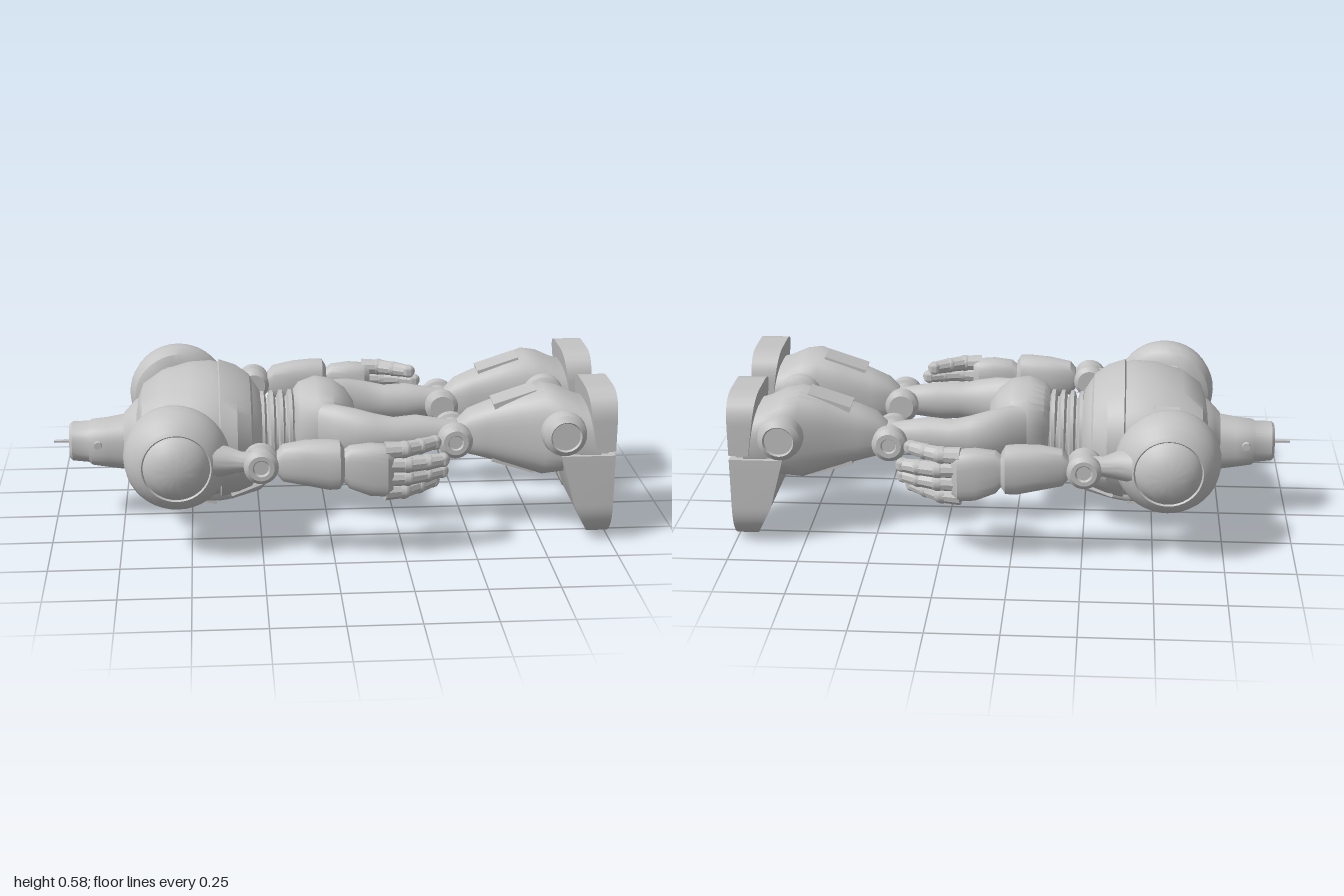
import * as THREE from 'three';
import { toCreasedNormals } from 'three/addons/utils/BufferGeometryUtils.js';

const metal = new THREE.MeshStandardMaterial({ color: 0xc4c4c4 });
metal.name = 'grey metal';

export function createModel() {
  const root = new THREE.Group();
  root.name = 'lyingRobot';

  function add(name, geo, crease = 0.6) {
    const m = new THREE.Mesh(toCreasedNormals(geo, crease), metal);
    m.name = name;
    root.add(m);
    return m;
  }

  // Skin over sections along x: [x, centreY, centreZ, halfY, halfZ]; n is squareness
  function loft(name, secs, n = 2, seg = 32, crease = 0.6) {
    const pos = [], idx = [];
    const pw = v => Math.sign(v) * Math.abs(v) ** (2 / n);
    for (const [x, cy, cz, hy, hz] of secs)
      for (let j = 0; j < seg; j++) {
        const t = (j / seg) * Math.PI * 2;
        pos.push(x, cy + hy * pw(Math.sin(t)), cz + hz * pw(Math.cos(t)));
      }
    const last = secs.length - 1, c0 = secs.length * seg;
    for (const k of [0, last]) pos.push(...secs[k].slice(0, 3));
    for (let j = 0; j < seg; j++) {
      const k = (j + 1) % seg;
      for (let i = 0; i < last; i++) {
        const a = i * seg + j, b = i * seg + k;
        idx.push(a, a + seg, b, b, a + seg, b + seg);
      }
      idx.push(c0, j, k, c0 + 1, last * seg + k, last * seg + j);
    }
    const g = new THREE.BufferGeometry();
    g.setAttribute('position', new THREE.Float32BufferAttribute(pos, 3));
    g.setIndex(idx);
    return add(name, g, crease);
  }

  // Tapered rod between two points
  function bone(name, a, b, r1, r2 = r1, seg = 12) {
    const A = new THREE.Vector3(...a), B = new THREE.Vector3(...b);
    const d = B.clone().sub(A);
    const m = add(name, new THREE.CylinderGeometry(r2, r1, d.length(), seg));
    m.position.copy(A).add(B).multiplyScalar(0.5);
    m.quaternion.setFromUnitVectors(new THREE.Vector3(0, 1, 0), d.normalize());
    return m;
  }

  function box(name, w, h, d, x, y, z, rz = 0, rx = 0) {
    const m = add(name, new THREE.BoxGeometry(w, h, d));
    m.position.set(x, y, z);
    m.rotation.set(rx, 0, rz);
    return m;
  }

  // Turned part around the z axis, profile of [radius, z], s = side; slope slants its inner face
  function turned(name, pts, x, y, s, seg = 40, slope = 0) {
    const g = new THREE.LatheGeometry(pts.map(p => new THREE.Vector2(...p)), seg);
    const p = g.attributes.position;
    for (let i = 0; i < p.count; i++) {
      const w = Math.max(0, Math.min(1, (0.4 - p.getY(i)) / 0.1));
      p.setY(i, p.getY(i) + slope * w * Math.max(0, p.getX(i) + 0.08));
    }
    const m = add(name, g);
    m.rotation.x = s * Math.PI / 2;
    // the lathe keeps its own x, so both sides slant alike
    m.position.set(x, y, 0);
    return m;
  }

  // Slab seen from the sole: outline in (y, z), upper face set by rule back(y)
  function slab(name, shape, back) {
    const g = new THREE.ExtrudeGeometry(shape, { depth: 1, bevelEnabled: false, curveSegments: 14 });
    const p = g.attributes.position;
    for (let i = 0; i < p.count; i++) {
      const y = p.getX(i), z = p.getY(i), d = p.getZ(i);
      p.setXYZ(i, d > 0.5 ? 1 : back(y), y, z);
    }
    return add(name, g);
  }

  // Head, antenna and neck collar
  loft('head', [[-0.94, 0.3, 0, 0.06, 0.062], [-0.93, 0.3, 0, 0.068, 0.072], [-0.87, 0.297, 0, 0.072, 0.076],
    [-0.86, 0.295, 0, 0.08, 0.083], [-0.8, 0.293, 0, 0.088, 0.088], [-0.7, 0.295, 0, 0.105, 0.095]], 2.6);
  bone('antenna', [-1, 0.3, 0], [-0.92, 0.3, 0], 0.005, 0.008);
  loft('collar', [[-0.74, 0.3, 0, 0.1, 0.1], [-0.72, 0.305, 0, 0.115, 0.12], [-0.7, 0.31, 0, 0.13, 0.15], [-0.65, 0.32, 0, 0.15, 0.17]], 2.3);
  for (const s of [-1, 1])
    bone('earStud', [-0.835, 0.31, s * 0.06], [-0.835, 0.31, s * 0.095], 0.02, 0.014);

  // Torso shell with raised band
  loft('torso', [[-0.69, 0.32, 0, 0.12, 0.2], [-0.67, 0.325, 0, 0.165, 0.265], [-0.6, 0.34, 0, 0.202, 0.28],
    [-0.5, 0.345, 0, 0.228, 0.285], [-0.42, 0.342, 0, 0.236, 0.282], [-0.33, 0.335, 0, 0.215, 0.275],
    [-0.27, 0.32, 0, 0.185, 0.235], [-0.24, 0.31, 0, 0.15, 0.18]], 2.25, 48);
  loft('lowerBand', [[-0.4, 0.34, 0, 0.22, 0.27], [-0.39, 0.34, 0, 0.24, 0.288], [-0.33, 0.336, 0, 0.222, 0.283],
    [-0.28, 0.325, 0, 0.198, 0.25], [-0.265, 0.32, 0, 0.17, 0.22]], 2.25, 48, 0.4);

  // Tapering chest and belly armour under the shell
  loft('chestArmour', [[-0.64, 0.21, 0, 0.06, 0.18], [-0.62, 0.2, 0, 0.068, 0.2], [-0.52, 0.18, 0, 0.075, 0.18],
    [-0.4, 0.15, 0, 0.068, 0.12], [-0.35, 0.148, 0, 0.064, 0.1], [-0.25, 0.185, 0, 0.07, 0.1], [-0.15, 0.255, 0, 0.05, 0.08]], 5, 32);
  for (const s of [-1, 1]) {
    box('ribPlate', 0.13, 0.05, 0.1, -0.3, 0.165, s * 0.13, 0.35, s * -0.4);
    box('backClamp', 0.09, 0.02, 0.035, -0.54, 0.49, s * 0.225, 0.1, s * 0.75);
    for (let i = 0; i < 3; i++) box('chestBlock', 0.05, 0.03, 0.025, -0.43, 0.1, s * (0.02 + i * 0.04), -0.2);
  }

  // Ribbed waist
  loft('waistCore', [[-0.26, 0.3, 0, 0.14, 0.12], [-0.06, 0.34, 0, 0.12, 0.11]]);
  for (let i = 0; i < 5; i++) {
    const x = -0.235 + i * 0.034, cy = 0.3 + i * 0.01, h = 0.168 - i * 0.008, w = 0.142 - i * 0.006;
    loft('waistRib', [[x - 0.014, cy, 0, h - 0.02, w - 0.02], [x - 0.006, cy, 0, h, w],
      [x + 0.006, cy, 0, h, w], [x + 0.014, cy, 0, h - 0.02, w - 0.02]], 2.3);
  }

  // Pelvis
  loft('pelvis', [[-0.12, 0.35, 0, 0.125, 0.11], [-0.1, 0.355, 0, 0.145, 0.14], [-0.04, 0.36, 0, 0.16, 0.168],
    [0.02, 0.36, 0, 0.15, 0.165], [0.07, 0.36, 0, 0.115, 0.12], [0.1, 0.36, 0, 0.07, 0.07]], 2.3);

  for (const s of [-1, 1]) {
    const P = (x, y, z) => [x, y, z * s];
    const S = secs => secs.map(([x, cy, cz, hy, hz]) => [x, cy, cz * s, hy, hz]);

    // Domed shoulder with rim and outer cap
    turned('shoulder', [[0, 0.275], [0.13, 0.278], [0.165, 0.295], [0.183, 0.33], [0.186, 0.36], [0.18, 0.405],
      [0.163, 0.445], [0.135, 0.475], [0.12, 0.484], [0.115, 0.478], [0.11, 0.49], [0.085, 0.512], [0.05, 0.527], [0, 0.533]], -0.545, 0.362, s, 40, 0.2);

    // Upper arm, elbow and forearm
    loft('upperArm', S([[-0.42, 0.37, 0.43, 0.06, 0.06], [-0.37, 0.37, 0.43, 0.05, 0.05], [-0.32, 0.37, 0.445, 0.035, 0.035], [-0.24, 0.37, 0.45, 0.04, 0.035]]));
    turned('elbow', [[0, 0.395], [0.045, 0.395], [0.06, 0.41], [0.06, 0.43], [0.052, 0.435], [0.052, 0.465], [0.06, 0.47],
      [0.06, 0.495], [0.045, 0.508], [0.03, 0.508], [0.025, 0.5], [0, 0.5]], -0.255, 0.365, s, 24);
    loft('forearm', S([[-0.2, 0.365, 0.45, 0.04, 0.035], [-0.18, 0.365, 0.45, 0.065, 0.045], [-0.1, 0.365, 0.455, 0.08, 0.055],
      [-0.02, 0.36, 0.465, 0.088, 0.062], [0.015, 0.36, 0.468, 0.085, 0.06], [0.03, 0.36, 0.468, 0.06, 0.045]]), 2.6, 24);

    // Hand: palm, four fingers of uneven curl, thumb
    loft('palm', S([[0.02, 0.355, 0.465, 0.045, 0.035], [0.05, 0.35, 0.467, 0.075, 0.042], [0.12, 0.34, 0.468, 0.092, 0.052],
      [0.18, 0.335, 0.468, 0.092, 0.05], [0.2, 0.335, 0.468, 0.082, 0.035]]), 3.2, 24);
    const chain = (name, pts, r) => {
      for (let i = 0; i + 1 < pts.length; i++) {
        bone(name, pts[i], pts[i + 1], r * (1.05 - i * 0.06), r * (0.95 - i * 0.08), 10);
        const k = add(name + 'Knuckle', new THREE.SphereGeometry(r * (1.06 - i * 0.1), 10, 8), 1);
        k.position.set(...pts[i + 1]);
      }
    };
    [0.1, 0.06, 0.035, 0.075].forEach((curl, i) => {
      const y = 0.26 + i * 0.05, e = (i === 0 || i === 3) ? -0.025 : 0;
      chain('finger', [P(0.17, y, 0.478), P(0.25 + e / 2, y, 0.487 - curl * 0.2), P(0.32 + e, y, 0.487 - curl * 0.6), P(0.375 + e, y, 0.482 - curl)], 0.03);
    });
    chain('thumb', [P(0.09, 0.31, 0.44), P(0.125, 0.295, 0.37), P(0.19, 0.29, 0.325), P(0.27, 0.295, 0.33)], 0.03);

    // Thigh and hinge knee
    loft('thigh', S([[-0.04, 0.36, 0.12, 0.1, 0.05], [0.02, 0.362, 0.145, 0.105, 0.065], [0.09, 0.365, 0.172, 0.095, 0.068],
      [0.16, 0.362, 0.187, 0.082, 0.062], [0.23, 0.36, 0.187, 0.068, 0.055], [0.31, 0.362, 0.182, 0.072, 0.058],
      [0.37, 0.362, 0.182, 0.062, 0.05], [0.45, 0.36, 0.182, 0.05, 0.045]]));
    turned('knee', [[0, 0.1], [0.045, 0.1], [0.062, 0.112], [0.062, 0.14], [0.05, 0.145], [0.05, 0.23], [0.062, 0.235],
      [0.062, 0.272], [0.045, 0.286], [0.028, 0.286], [0.024, 0.278], [0, 0.278]], 0.445, 0.36, s, 28);

    // Armoured shin, flaring to the ankle, with calf and shin ridges
    loft('shin', S([[0.46, 0.365, 0.182, 0.045, 0.045], [0.5, 0.37, 0.182, 0.08, 0.065], [0.56, 0.375, 0.185, 0.1, 0.077],
      [0.67, 0.382, 0.195, 0.135, 0.1], [0.76, 0.386, 0.208, 0.163, 0.125], [0.82, 0.386, 0.215, 0.15, 0.14],
      [0.88, 0.38, 0.22, 0.125, 0.148], [0.95, 0.365, 0.225, 0.12, 0.148]]), 2.8, 36);
    box('calfPlate', 0.16, 0.02, 0.1, 0.66, 0.505, s * 0.195, 0.32);
    box('shinPlate', 0.16, 0.02, 0.1, 0.66, 0.258, s * 0.195, -0.3);
    turned('ankle', [[0, 0.05], [0.05, 0.05], [0.075, 0.065], [0.08, 0.09], [0.08, 0.35], [0.075, 0.375], [0.055, 0.39],
      [0.05, 0.383], [0, 0.383]], 0.82, 0.41, s, 32);

    // Foot in two pieces: rounded toe and heel
    const c = 0.225 * s, w = 0.156;
    const toe = new THREE.Shape();
    toe.moveTo(0.335, c - w);
    toe.lineTo(0.335, c + w);
    toe.lineTo(0.15, c + w);
    toe.bezierCurveTo(0.06, c + w, 0.004, c + w * 0.6, 0.003, c);
    toe.bezierCurveTo(0.004, c - w * 0.6, 0.06, c - w, 0.15, c - w);
    slab('toe', toe, y => 0.935 - 0.125 * Math.min(y / 0.25, 1));
    const heel = new THREE.Shape();
    heel.moveTo(0.35, c - w);
    heel.lineTo(0.46, c - w);
    heel.bezierCurveTo(0.54, c - w, 0.565, c - w * 0.7, 0.565, c - w * 0.3);
    heel.lineTo(0.565, c + w * 0.3);
    heel.bezierCurveTo(0.565, c + w * 0.7, 0.54, c + w, 0.46, c + w);
    heel.lineTo(0.35, c + w);
    slab('heel', heel, y => 0.93 - 0.03 * (y - 0.35) / 0.2);
    box('instep', 0.1, 0.06, 0.26, 0.93, 0.345, c);
  }
  return root;
}
